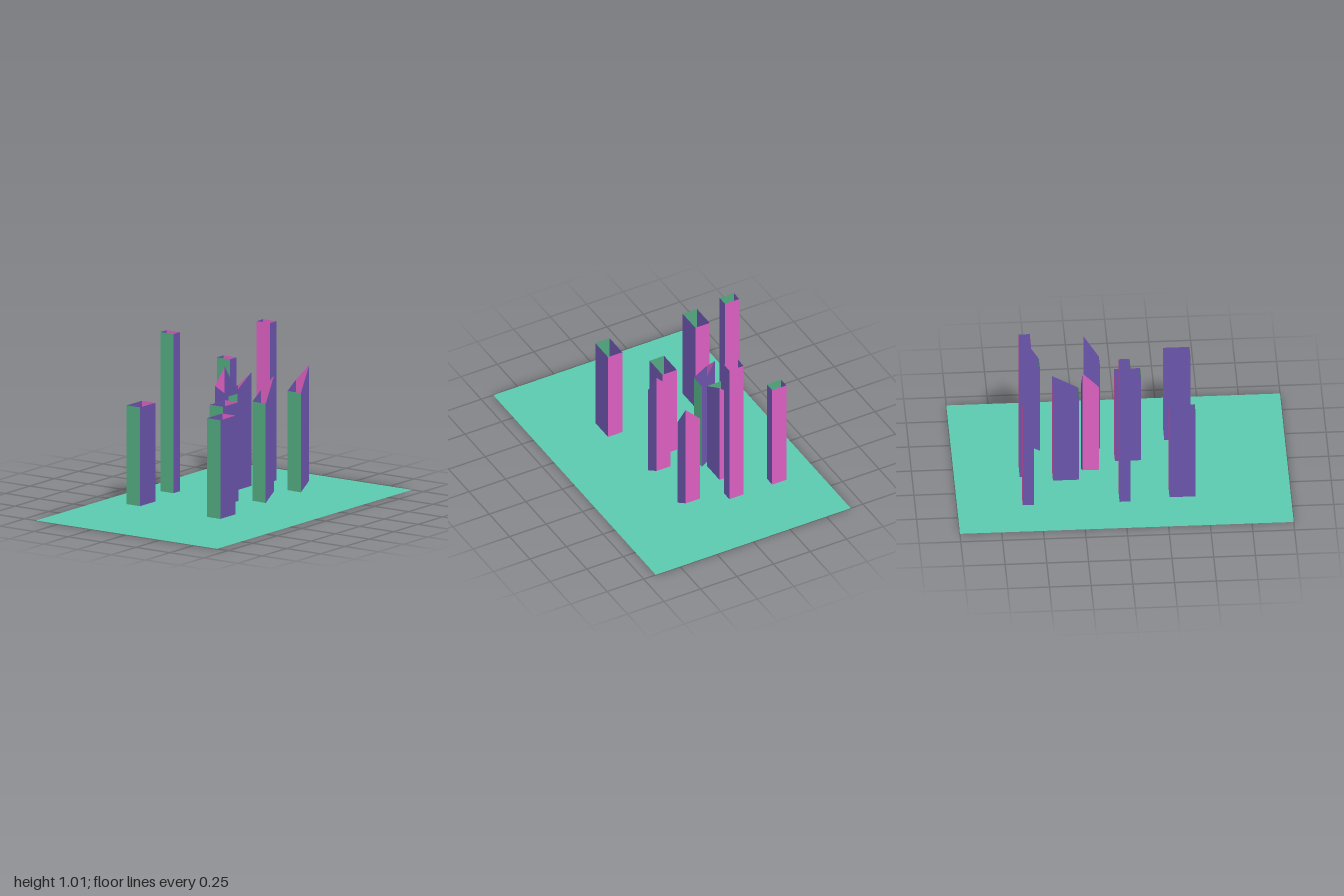
import * as THREE from 'three';

const material = (color) => new THREE.MeshStandardMaterial({ color, side: THREE.DoubleSide, flatShading: true });

// One flat four-cornered panel, corners counter-clockwise from outside
function panel(name, corners, mat) {
  const geometry = new THREE.BufferGeometry();
  const [a, b, c, d] = corners;
  geometry.setAttribute('position', new THREE.Float32BufferAttribute([a, b, c, a, c, d].flat(), 3));
  geometry.computeVertexNormals();
  const mesh = new THREE.Mesh(geometry, mat);
  mesh.name = name;
  return mesh;
}

// Open-topped tower. Plan corners run front-left, front-right, back-right, back-left
// as seen from the front; low and high give the floor and rim height at each corner.
function tower(name, plan, low, high, mats, frontMat = mats.green) {
  const group = new THREE.Group();
  group.name = name;
  const bottom = plan.map(([x, z], i) => [x, low[i], z]);
  const top = plan.map(([x, z], i) => [x, high[i], z]);
  const wallNames = ['frontWall', 'leftWall', 'backWall', 'rightWall'];
  const wallMats = [frontMat, mats.purple, mats.pink, mats.purple];
  wallNames.forEach((wall, i) => {
    const j = (i + 1) % 4;
    group.add(panel(wall, [bottom[i], bottom[j], top[j], top[i]], wallMats[i]));
  });
  group.add(panel('floor', [bottom[3], bottom[2], bottom[1], bottom[0]], mats.pink));
  return group;
}

const rectangle = (w, d) => [[-w / 2, d / 2], [w / 2, d / 2], [w / 2, -d / 2], [-w / 2, -d / 2]];

export function createModel() {
  const model = new THREE.Group();
  model.name = 'towerBlocks';
  const mats = { green: material(0x52aa80), purple: material(0x6a54ab), pink: material(0xdd60c1) };

  // Ground sheet
  const ground = new THREE.Mesh(new THREE.PlaneGeometry(1.334, 2).rotateX(-Math.PI / 2), material(0x5bc9ae));
  ground.name = 'ground';
  model.add(ground);

  const place = (part, x, z, turn = 0) => {
    part.position.set(x, 0, z);
    part.rotation.y = turn;
    model.add(part);
  };

  // Slim towers: two tall, one shorter
  const slim = rectangle(0.097, 0.066);
  const slimLow = Array(4).fill(0.035);
  for (const [x, z, h, front] of [
    [-0.395, 0.003, 1.01, mats.green],
    [-0.102, -0.577, 1.01, mats.pink],
    [-0.395, -0.577, 0.75, mats.green],
  ]) place(tower('slimTower', slim, slimLow, Array(4).fill(h), mats, front), x, z);

  // Flat-topped blocks
  const wide = rectangle(0.098, 0.157);
  const wideLow = Array(4).fill(0.031);
  for (const [x, z] of [[-0.36, 0.35], [0.235, 0.355], [0.034, 0.047]])
    place(tower('block', wide, wideLow, Array(4).fill(0.636), mats), x, z);

  // Block with one raised rim corner
  place(tower('peakedBlock', wide, wideLow, [0.636, 0.636, 0.727, 0.636], mats), -0.145, -0.335);

  // Slanted towers with a sloping floor and a sharp back corner
  const skewed = [[-0.046, 0.047], [0.051, 0.046], [0.046, -0.046], [-0.051, -0.048]];
  for (const [x, z, turn] of [[0.175, -0.159, 0], [0.175, -0.519, 0], [-0.117, -0.188, Math.PI / 2]])
    place(tower('slantedTower', skewed, [0.024, 0.022, 0.077, 0.078], [0.632, 0.63, 0.785, 0.685], mats), x, z, turn);

  return model;
}
